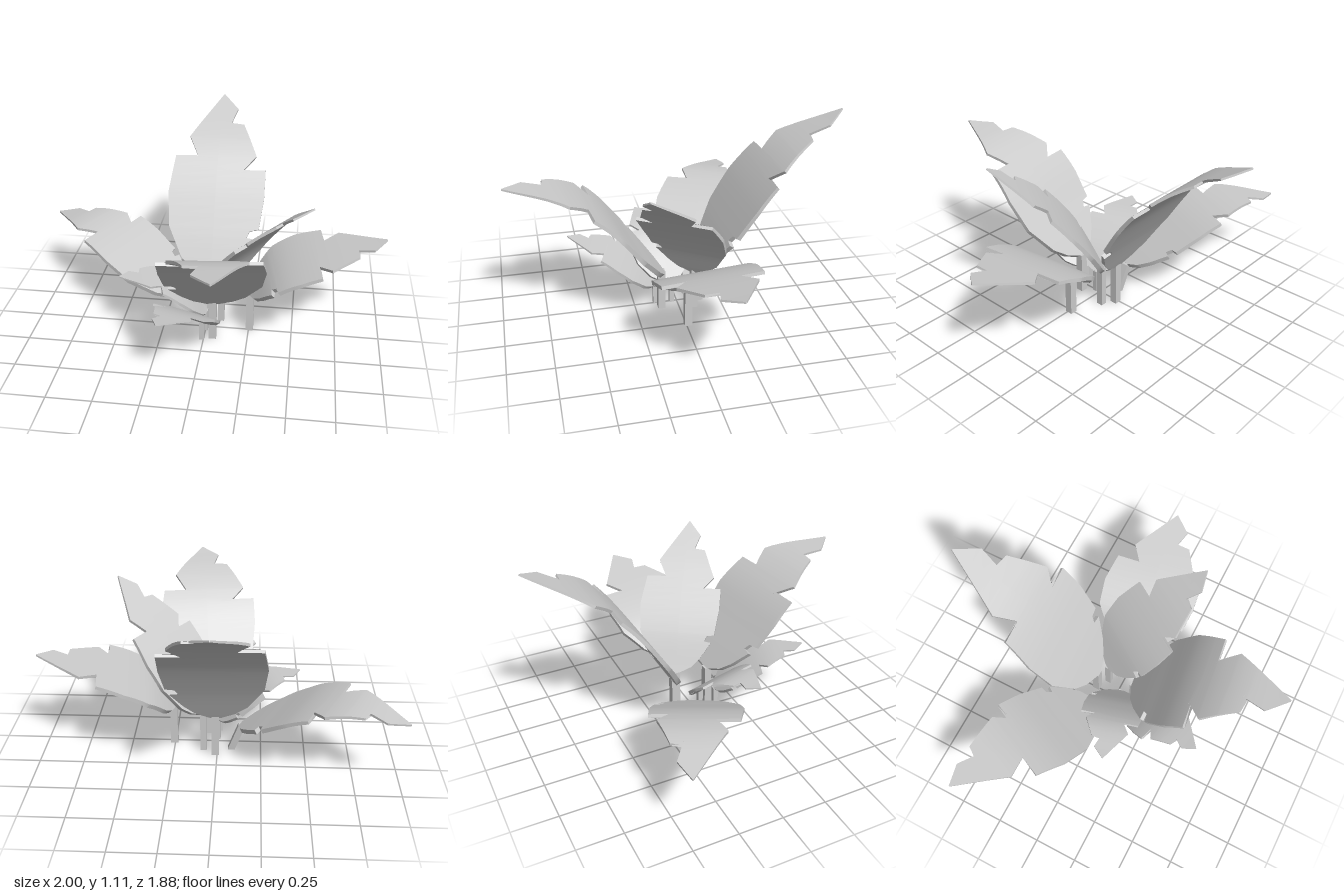
import * as THREE from 'three';
import { toCreasedNormals } from 'three/addons/utils/BufferGeometryUtils.js';

// Blade edges as [station, half-width share, lean]; lean shifts the point along the blade,
// so that the torn notches cut in diagonally
const RIGHT = [[0, .1, 0], [.04, .4, 0], [.1, .62, 0], [.2, .88, 0], [.207, .7, 0], [.24, .77, 0], [.247, .95, 0],
  [.4, 1.03, 0], [.535, 1.03, .005], [.545, .52, -.02], [.61, .82, 0], [.81, .5, -.015], [.82, .2, -.035],
  [.9, .34, 0], [1, .01, 0]];
const LEFT = [[0, .1, 0], [.04, .4, 0], [.1, .65, 0], [.25, .95, 0], [.42, 1, 0], [.6, .9, 0], [.607, .42, -.01],
  [.71, .64, 0], [1, .01, 0]];

function edgeAt(table, s) {
  const i = Math.max(1, table.findIndex(p => s <= p[0]));
  const a = table[i - 1], b = table[i];
  const k = (s - a[0]) / (b[0] - a[0]);
  return { width: a[1] + (b[1] - a[1]) * k, at: s + a[2] + (b[2] - a[2]) * k };
}

// Stations along the blade: every notch corner plus even steps for the bend
const stations = [...new Set([...RIGHT, ...LEFT].map(p => p[0])
  .concat(Array.from({ length: 21 }, (_, i) => i / 20)))].sort((a, b) => a - b);

// Flat-section blade swept along an arching midrib
function bladeGeometry({ base, tip, rise, left, right, thick }) {
  const dir = new THREE.Vector3(tip[0] - base[0], 0, tip[1] - base[1]).normalize();
  const side = new THREE.Vector3(-dir.z, 0, dir.x);
  const midrib = new THREE.CatmullRomCurve3(rise.map(([h, y]) =>
    new THREE.Vector3(base[0] + dir.x * h, y, base[1] + dir.z * h)));
  const pos = [], index = [];
  const addPoint = (s, u, face) => {
    const n = side.clone().cross(midrib.getTangentAt(s));
    const p = midrib.getPointAt(s).addScaledVector(side, u);
    pos.push(...p.addScaledVector(n, face * thick * (1 - 0.7 * s) / 2).toArray());
  };
  // Each row loops left, midrib, right on top, then back underneath
  for (const s of stations) {
    const l = edgeAt(LEFT, s), r = edgeAt(RIGHT, s);
    const row = [[l.at, -left * l.width], [s, 0], [r.at, right * r.width]];
    row.forEach(([at, u]) => addPoint(at, u, 1));
    row.reverse().forEach(([at, u]) => addPoint(at, u, -1));
  }
  const rows = stations.length;
  for (let i = 0; i < rows - 1; i++) {
    for (let k = 0; k < 6; k++) {
      const a = i * 6 + k, b = i * 6 + (k + 1) % 6;
      index.push(a, b, b + 6, a, b + 6, a + 6);
    }
  }
  // End caps
  const e = (rows - 1) * 6;
  for (let k = 1; k < 5; k++) index.push(0, k + 1, k, e, e + k, e + k + 1);
  const g = new THREE.BufferGeometry();
  g.setAttribute('position', new THREE.Float32BufferAttribute(pos, 3));
  g.setIndex(index);
  return toCreasedNormals(g, 0.6);
}

// Square stem, sheared when its foot is not below the blade
function stemGeometry({ base, foot = base, rise, stem }) {
  const h = rise[0][1] + 0.005;
  const g = new THREE.BoxGeometry(stem, h, stem).translate(foot[0], h / 2, foot[1]);
  const p = g.attributes.position;
  for (let i = 0; i < p.count; i++) {
    const k = p.getY(i) / h;
    p.setX(i, p.getX(i) + (base[0] - foot[0]) * k);
    p.setZ(i, p.getZ(i) + (base[1] - foot[1]) * k);
  }
  g.computeVertexNormals();
  return g;
}

// base and tip are [x, z]; left and right are half-widths;
// rise lists [distance outward, height] along the midrib
const LEAVES = [
  { name: 'backLeaf', base: [0.01, -0.13], tip: [-0.005, -0.94], left: .28, right: .28, thick: .03, stem: .042,
    rise: [[0, .25], [.14, .5], [.32, .77], [.47, .92], [.81, 1.11]] },
  { name: 'frontLeaf', base: [0.05, 0.1], tip: [0.14, 0.935], left: .28, right: .275, thick: .03, stem: .042,
    rise: [[0, .24], [.16, .45], [.35, .68], [.55, .81], [.838, .87]] },
  { name: 'leftLeaf', base: [0.255, -0.01], tip: [1, -0.1], left: .28, right: .265, thick: .03, stem: .042,
    rise: [[0, .24], [.13, .39], [.3, .48], [.75, .595]] },
  { name: 'upperLeftLeaf', base: [0.08, -0.085], tip: [0.58, 0.25], left: .235, right: .22, thick: .03, stem: .036,
    rise: [[0, .24], [.13, .48], [.34, .72], [.602, .93]] },
  { name: 'backRightLeaf', base: [-0.14, -0.085], foot: [-0.08, -0.07], tip: [-1, -0.5], left: .265, right: .215,
    thick: .03, stem: .04, rise: [[0, .165], [.2, .29], [.45, .43], [.66, .48], [.955, .445]] },
  { name: 'smallRightLeaf', base: [0, 0.03], tip: [-0.47, 0.16], left: .175, right: .175, thick: .022, stem: .028,
    rise: [[0, .13], [.13, .27], [.28, .37], [.488, .4]] },
  { name: 'smallFrontLeaf', base: [-0.01, 0.125], tip: [-0.18, 0.6], left: .175, right: .165, thick: .022, stem: .028,
    rise: [[0, .12], [.12, .24], [.28, .34], [.505, .4]] },
];

export function createModel() {
  const plant = new THREE.Group();
  plant.name = 'plant';
  const material = new THREE.MeshStandardMaterial({ color: 0xcccccc });
  for (const spec of LEAVES) {
    const leaf = new THREE.Group();
    leaf.name = spec.name;
    const blade = new THREE.Mesh(bladeGeometry(spec), material);
    blade.name = 'blade';
    const stem = new THREE.Mesh(stemGeometry(spec), material);
    stem.name = 'stem';
    leaf.add(blade, stem);
    plant.add(leaf);
  }
  return plant;
}
